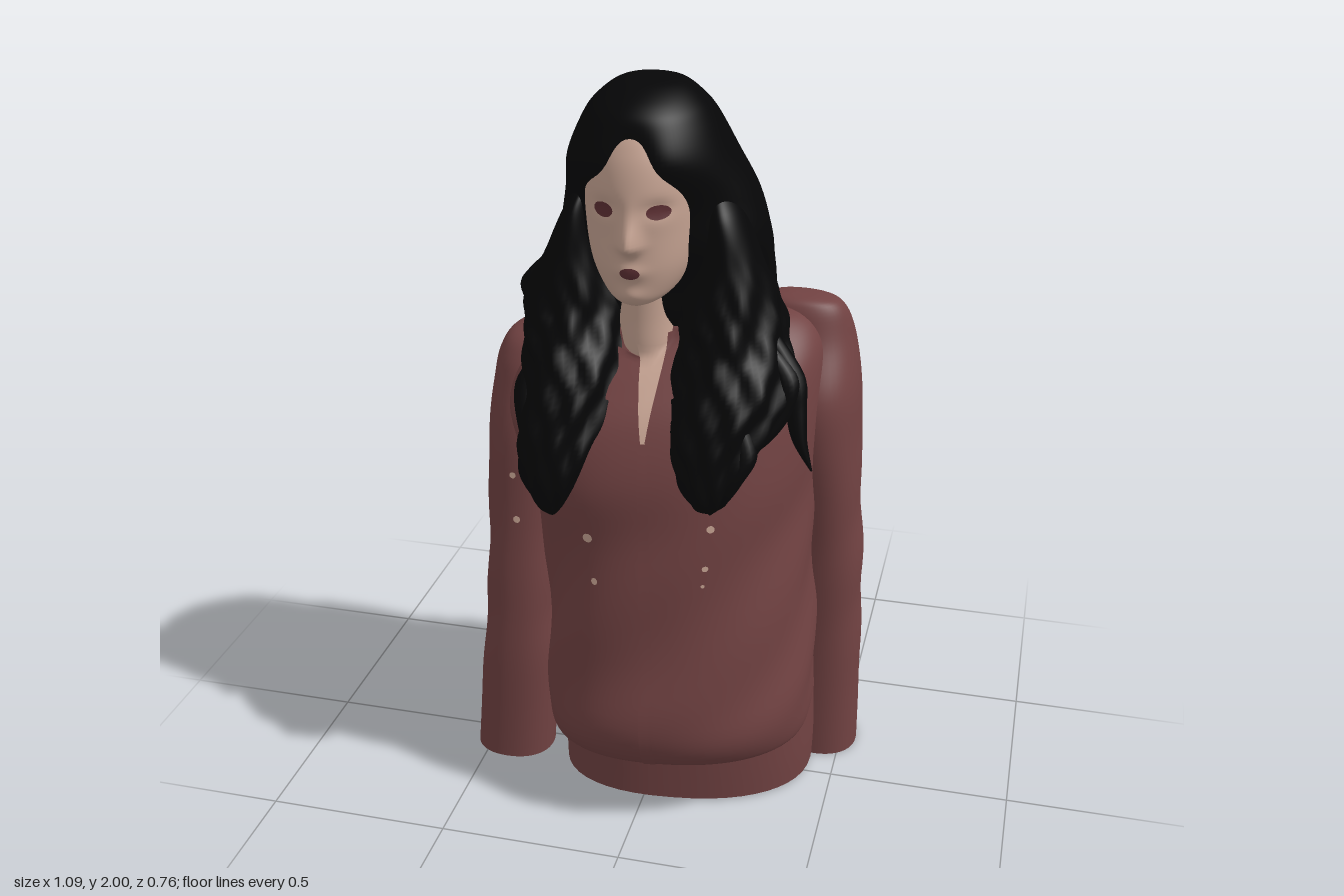
import * as THREE from 'three';

const paint = (name, color) => {
  const m = new THREE.MeshStandardMaterial({ color });
  m.name = name;
  return m;
};

// Uniform Catmull-Rom through rows of numbers
function sampleRows(rows, t) {
  const f = t * (rows.length - 1);
  const i = Math.min(Math.floor(f), rows.length - 2), u = f - i;
  const at = k => rows[Math.max(0, Math.min(rows.length - 1, k))];
  return rows[i].map((_, c) => {
    const a = at(i - 1)[c], b = at(i)[c], d = at(i + 1)[c], e = at(i + 2)[c];
    return b + 0.5 * u * (d - a + u * (2 * a - 5 * b + 4 * d - e + u * (3 * (b - d) + e - a)));
  });
}

// Smooth closed skin over level rings; each row is [y, x, z, radiusX, radiusZ].
// Higher powers make the front or back half of the rings squarer.
function loft(rows, { seg = 48, steps = 6, power = 2, backPower = power, shape } = {}) {
  if (rows[0][0] > rows[rows.length - 1][0]) rows = [...rows].reverse();
  const n = (rows.length - 1) * steps, pos = [], idx = [];
  for (let i = 0; i <= n; i++) {
    const [y, x, z, rx, rz] = sampleRows(rows, i / n);
    for (let j = 0; j < seg; j++) {
      const a = j / seg * Math.PI * 2, c = Math.cos(a), s = Math.sin(a);
      const e = 2 / (s < 0 ? backPower : power);
      const p = new THREE.Vector3(
        x + Math.max(rx, 0.002) * Math.sign(c) * Math.abs(c) ** e, y,
        z + Math.max(rz, 0.002) * Math.sign(s) * Math.abs(s) ** e);
      if (shape) shape(p, a, x, z);
      pos.push(p.x, p.y, p.z);
    }
  }
  for (let i = 0; i < n; i++) for (let j = 0; j < seg; j++) {
    const p = i * seg + j, q = i * seg + (j + 1) % seg;
    idx.push(p, p + seg, q, q, p + seg, q + seg);
  }
  // End caps with their own corners, so the rims stay sharp
  for (const ring of [0, n]) {
    const base = pos.length / 3, mid = [0, 0, 0];
    for (let j = 0; j < seg; j++) for (let k = 0; k < 3; k++) {
      const v = pos[(ring * seg + j) * 3 + k];
      pos.push(v);
      mid[k] += v / seg;
    }
    pos.push(...mid);
    for (let j = 0; j < seg; j++) {
      const p = base + j, q = base + (j + 1) % seg;
      idx.push(base + seg, ring ? q : p, ring ? p : q);
    }
  }
  const g = new THREE.BufferGeometry();
  g.setAttribute('position', new THREE.Float32BufferAttribute(pos, 3));
  g.setIndex(idx);
  g.computeVertexNormals();
  return g;
}

// Lay a flat piece onto the front of other meshes
function drape(geo, targets, lift) {
  const p = geo.attributes.position, ray = new THREE.Raycaster();
  const dir = new THREE.Vector3(0, 0, -1);
  let last = 0.2;
  for (let i = 0; i < p.count; i++) {
    ray.set(new THREE.Vector3(p.getX(i), p.getY(i), 2), dir);
    const hit = ray.intersectObjects(targets)[0];
    if (hit) last = hit.point.z;
    p.setZ(i, last + lift);
  }
  geo.computeVertexNormals();
  return geo;
}

// Flat four-cornered piece: bottom left, bottom right, top right, top left
function quad(bl, br, tr, tl, nx = 6, ny = 12) {
  const g = new THREE.PlaneGeometry(1, 1, nx, ny), p = g.attributes.position;
  for (let i = 0; i < p.count; i++) {
    const u = p.getX(i) + 0.5, v = p.getY(i) + 0.5;
    const mix = k => (bl[k] * (1 - u) + br[k] * u) * (1 - v) + (tl[k] * (1 - u) + tr[k] * u) * v;
    p.setXY(i, mix(0), mix(1));
  }
  return g;
}

const oval = (x, y, rx, ry) => new THREE.CircleGeometry(1, 20).scale(rx, ry, 1).translate(x, y, 0);
const bump = (d, w) => Math.exp(-((d / w) ** 2));
const ramp = THREE.MathUtils.smoothstep;

export function createModel() {
  const group = new THREE.Group();
  const jacket = paint('jacket cloth', 0x714242), skin = paint('skin', 0xc8a594);
  const black = paint('black hair', 0x060607), lip = paint('lip and eye', 0x5e3034);
  jacket.side = skin.side = THREE.DoubleSide;
  const add = (name, geo, mat) => {
    const m = new THREE.Mesh(geo, mat);
    m.name = name;
    group.add(m);
    return m;
  };

  // Jacket body: turned a little, right shoulder lower, shoulder blades and soft folds
  const hem = add('waistband', loft([
    [0.005, 0.08, -0.01, 0.35, 0.24], [0.1, 0.08, -0.01, 0.352, 0.242], [0.26, 0.075, -0.01, 0.352, 0.245],
  ], { power: 2.3, backPower: 2.5, shape: p => { p.z -= 0.12 * p.x; } }), jacket);
  const body = add('jacketBody', loft([
    [0.185, 0.075, 0.035, 0.33, 0.26], [0.2, 0.07, 0.045, 0.355, 0.295], [0.3, 0.07, 0.055, 0.362, 0.318],
    [0.5, 0.065, 0.03, 0.358, 0.308], [0.8, 0.045, -0.005, 0.36, 0.305], [1.0, 0.02, -0.03, 0.39, 0.315],
    [1.15, 0, -0.06, 0.415, 0.295], [1.25, 0, -0.09, 0.4, 0.245], [1.32, 0, -0.11, 0.34, 0.19],
    [1.36, -0.01, -0.09, 0.22, 0.155], [1.39, -0.02, -0.07, 0.13, 0.12], [1.42, -0.025, -0.06, 0.09, 0.1],
  ], { seg: 80, power: 2.3, backPower: 2.8, shape: (p, a, x, z) => {
    const blades = 0.035 * (bump(p.x - 0.27, 0.13) + bump(p.x + 0.28, 0.13)) - 0.02 * bump(p.x, 0.13);
    const back = ramp(z - p.z, 0, 0.15) * bump(p.y - 1.06, 0.22);
    p.z -= (0.1 + 0.03 * Math.sin(a)) * p.x + blades * back;
    const f = ramp(p.y, 0.2, 0.4) * (1 - ramp(p.y, 0.8, 1.15)) * 0.006 * Math.sin(17 * p.y + 5 * a);
    p.x += f * Math.cos(a);
    p.z += f * Math.sin(a);
    p.y += 0.14 * p.x * ramp(p.y, 0.9, 1.25);
  } }), jacket);

  // Sleeves: the left one hangs further back
  const crease = (p, a) => { p.x += 0.004 * Math.sin(22 * p.y + 2 * a) * bump(p.y - 0.6, 0.3); };
  const leftSleeve = add('leftSleeve', loft([
    [0, 0.435, -0.195, 0.11, 0.107], [0.3, 0.43, -0.2, 0.11, 0.108], [0.6, 0.425, -0.195, 0.107, 0.113],
    [0.8, 0.412, -0.19, 0.107, 0.13], [1.0, 0.398, -0.19, 0.112, 0.165], [1.15, 0.38, -0.19, 0.122, 0.165],
    [1.28, 0.353, -0.21, 0.125, 0.122], [1.365, 0.335, -0.195, 0.113, 0.08], [1.393, 0.325, -0.185, 0.075, 0.05],
    [1.4, 0.31, -0.18, 0.01, 0.01],
  ], { power: 2.2, shape: crease }), jacket);
  const rightSleeve = add('rightSleeve', loft([
    [0, -0.435, 0.04, 0.112, 0.1], [0.3, -0.412, 0.035, 0.11, 0.1], [0.5, -0.4, 0.015, 0.105, 0.105],
    [0.8, -0.392, -0.03, 0.11, 0.12], [1.0, -0.385, -0.08, 0.12, 0.155], [1.13, -0.375, -0.115, 0.12, 0.158],
    [1.21, -0.36, -0.125, 0.12, 0.14], [1.26, -0.345, -0.135, 0.095, 0.105], [1.285, -0.32, -0.135, 0.01, 0.01],
  ], { power: 2.2, shape: crease }), jacket);

  // Head with nose, eye sockets, mouth and chin
  const head = add('head', loft([
    [1.955, -0.03, 0.04, 0.01, 0.01], [1.92, -0.03, 0.05, 0.09, 0.115], [1.85, -0.03, 0.05, 0.135, 0.167],
    [1.75, -0.03, 0.05, 0.148, 0.188], [1.65, -0.03, 0.05, 0.145, 0.182], [1.57, -0.03, 0.06, 0.13, 0.168],
    [1.51, -0.03, 0.08, 0.1, 0.135], [1.475, -0.03, 0.105, 0.065, 0.095], [1.455, -0.03, 0.12, 0.02, 0.04],
  ], { seg: 120, steps: 10, shape: p => {
    if (p.z < 0.1) return;
    const dx = p.x + 0.025, y = p.y;
    const w = bump(y - 1.635, y > 1.635 ? 0.06 : 0.02);
    p.z += 0.04 * bump(dx, 0.02 + 0.006 * w) * w;
    for (const s of [-1, 1]) p.z -= 0.012 * bump(dx - s * 0.066, 0.035) * bump(y - 1.725, 0.022);
    p.z += 0.01 * bump(dx, 0.035) * (bump(y - 1.565, 0.018) + bump(y - 1.5, 0.02));
  } }), skin);
  const neck = add('neck', loft([
    [1.53, -0.03, 0.03, 0.075, 0.08], [1.4, -0.03, 0.02, 0.078, 0.085],
    [1.3, -0.025, 0.02, 0.08, 0.085], [1.2, -0.02, 0, 0.09, 0.09],
  ]), skin);
  for (const [side, x] of [['right', -0.094], ['left', 0.042]])
    add(side + 'Eye', drape(oval(x, 1.718, 0.027, 0.018), [head], 0.004), lip);
  add('mouth', drape(oval(-0.025, 1.565, 0.025, 0.015), [head], 0.004), lip);

  // Open neckline, collar flaps and front placket
  add('neckline', drape(quad([0.006, 1.11], [0.014, 1.11], [0.035, 1.33], [-0.04, 1.33]), [body, neck], 0.005), skin);
  add('rightCollar', drape(quad([-0.1, 1.21], [-0.012, 1.2], [-0.03, 1.3], [-0.12, 1.32]), [body, neck], 0.014), jacket);
  add('leftCollar', drape(quad([0.028, 1.2], [0.1, 1.24], [0.1, 1.37], [0.035, 1.36]), [body, neck], 0.014), jacket);
  add('placket', drape(quad([0.03, 0.2], [0.065, 0.2], [0.025, 1.12], [0, 1.12], 3, 40), [body], 0.007), jacket);

  // Small pale spots on the cloth
  for (const [x, y, r] of [[-0.4, 0.9, 0.009], [-0.39, 0.77, 0.01], [-0.13, 0.85, 0.013], [-0.11, 0.73, 0.009],
    [0.19, 0.9, 0.01], [0.18, 0.79, 0.008], [0.175, 0.74, 0.005]])
    add('spot', drape(oval(x, y, r, r), [body, leftSleeve, rightSleeve, hem], 0.004), skin);

  // Hair: waves deepen below the ears
  const wave = amp => (p, a, x, z) => {
    const k = 1 + amp * (1 - ramp(p.y, 1.35, 1.65)) *
      (Math.sin(7 * a + 26 * p.y) + 0.6 * Math.sin(11 * a - 41 * p.y));
    p.x = x + (p.x - x) * k;
    p.z = z + (p.z - z) * k;
  };
  const crownWave = wave(0.015);
  add('hairCrown', loft([
    [2, -0.03, 0, 0.005, 0.005], [1.987, -0.03, 0, 0.08, 0.09], [1.95, -0.03, 0.01, 0.132, 0.155],
    [1.9, -0.03, 0, 0.168, 0.195], [1.8, -0.03, -0.03, 0.214, 0.228], [1.7, -0.015, -0.06, 0.248, 0.22],
    [1.6, -0.01, -0.07, 0.272, 0.212], [1.5, -0.02, -0.11, 0.288, 0.212], [1.4, -0.03, -0.13, 0.305, 0.205],
    [1.3, -0.035, -0.165, 0.295, 0.178], [1.22, -0.035, -0.205, 0.25, 0.14], [1.15, -0.02, -0.24, 0.18, 0.108],
    [1.08, 0, -0.27, 0.05, 0.065],
  ], { seg: 96, steps: 8, backPower: 2.25, shape: (p, a, x, z) => {
    crownWave(p, a, x, z);
    // Centre parting: the hair swells forward on both sides of it
    p.z += 0.032 * Math.max(0, Math.sin(a)) * (1 - bump(p.x + 0.03, 0.06)) * bump(p.y - 1.83, 0.075);
  } }), black);
  add('rightFrontLock', loft([
    [1.76, -0.17, 0.02, 0.01, 0.02], [1.68, -0.2, 0.03, 0.035, 0.09], [1.55, -0.22, 0.04, 0.075, 0.11],
    [1.45, -0.225, 0.02, 0.118, 0.15], [1.38, -0.225, 0.03, 0.13, 0.165], [1.25, -0.205, 0.11, 0.128, 0.15],
    [1.1, -0.22, 0.2, 0.11, 0.12], [1.0, -0.23, 0.24, 0.08, 0.09], [0.93, -0.235, 0.25, 0.04, 0.055],
    [0.89, -0.235, 0.25, 0.008, 0.01],
  ], { seg: 64, steps: 10, shape: wave(0.06) }), black);
  add('leftFrontLock', loft([
    [1.76, 0.14, 0.02, 0.01, 0.02], [1.68, 0.17, 0.03, 0.045, 0.09], [1.55, 0.19, 0.04, 0.078, 0.11],
    [1.45, 0.185, 0.02, 0.122, 0.16], [1.35, 0.195, 0.04, 0.138, 0.17], [1.25, 0.205, 0.1, 0.148, 0.16],
    [1.15, 0.19, 0.175, 0.13, 0.125], [1.05, 0.18, 0.23, 0.085, 0.09], [0.98, 0.18, 0.24, 0.05, 0.065],
    [0.94, 0.18, 0.24, 0.008, 0.01],
  ], { seg: 64, steps: 10, shape: wave(0.06) }), black);

  // Loose tapering curls at the sides
  const curls = [
    [[1.4, 0.28, 0.07], [1.28, 0.36, 0.09], [1.2, 0.375, 0.11], [1.12, 0.39, 0.13], [1.04, 0.425, 0.14]],
    [[1.36, 0.29, 0.09], [1.28, 0.35, 0.11], [1.2, 0.345, 0.13], [1.13, 0.31, 0.16], [1.08, 0.27, 0.18]],
    [[1.53, -0.28, 0.02], [1.48, -0.32, 0.03], [1.44, -0.345, 0.03], [1.39, -0.325, 0.05], [1.33, -0.28, 0.08]],
    [[1.3, -0.28, 0.14], [1.22, -0.32, 0.17], [1.12, -0.31, 0.2], [1.04, -0.285, 0.22], [0.98, -0.25, 0.25]],
    [[1.2, 0.25, 0.23], [1.12, 0.275, 0.25], [1.05, 0.245, 0.27], [0.99, 0.215, 0.27], [0.95, 0.19, 0.27]],
  ];
  const thickness = [0.02, 0.03, 0.028, 0.02, 0.003];
  for (const path of curls)
    add('curl', loft(path.map((p, i) => [...p, thickness[i], thickness[i]]), { seg: 14 }), black);
  return group;
}
